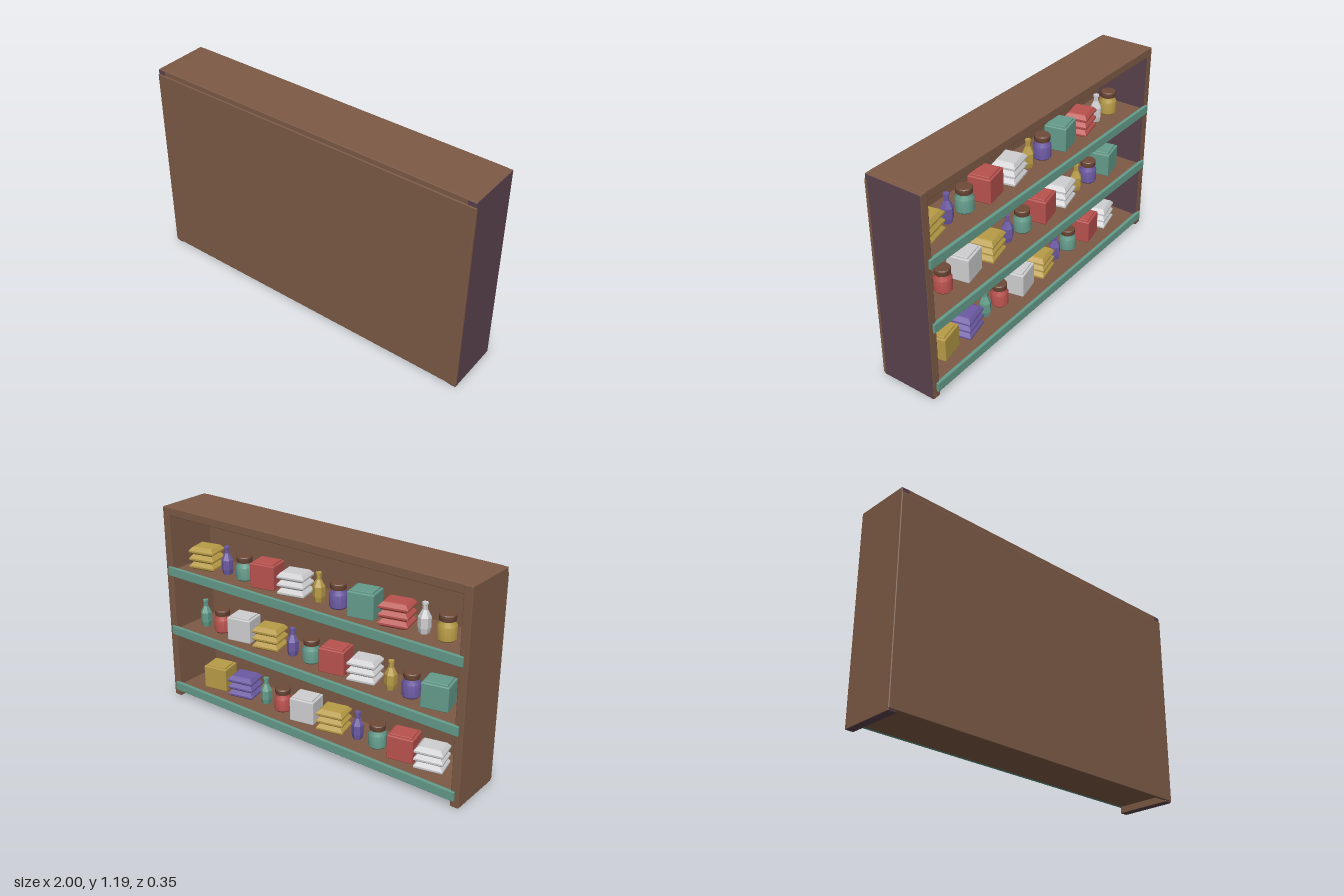
import * as THREE from 'three';
import { RoundedBoxGeometry } from 'three/addons/geometries/RoundedBoxGeometry.js';
import { toCreasedNormals } from 'three/addons/utils/BufferGeometryUtils.js';

function mat(name, color) {
  const m = new THREE.MeshStandardMaterial({ color });
  m.name = name;
  return m;
}

const wood = mat('brown wood', 0x7d5a45);
const plum = mat('plum wood', 0x5a424d);
const lid = mat('lid brown', 0x6f4a38);
const C = {
  teal: mat('teal', 0x649c8b),
  gold: mat('gold', 0xb89b46),
  red: mat('red', 0xb9524e),
  white: mat('off white', 0xcfcfd1),
  violet: mat('violet', 0x6c5aa3),
};

// Box given by its minimum and maximum corners, with slightly softened edges
function board(name, [x0, y0, z0], [x1, y1, z1], material, r = 0.005) {
  const geo = new RoundedBoxGeometry(x1 - x0, y1 - y0, z1 - z0, 1, r);
  const mesh = new THREE.Mesh(geo, material);
  mesh.position.set((x0 + x1) / 2, (y0 + y1) / 2, (z0 + z1) / 2);
  mesh.name = name;
  return mesh;
}

// Turned solid from [radius, height] pairs
function turned(points, sides, crease) {
  const pts = points.map(([r, y]) => new THREE.Vector2(r, y));
  return toCreasedNormals(new THREE.LatheGeometry(pts, sides), crease);
}

// Shared shapes for the goods
const bottleGeo = turned([[0, 0], [0.027, 0], [0.034, 0.03], [0.034, 0.085], [0.014, 0.125],
  [0.013, 0.15], [0.017, 0.152], [0.017, 0.163], [0, 0.163]], 6, 0.1);
const jarGeo = turned([[0, 0], [0.044, 0], [0.05, 0.008], [0.05, 0.078], [0.038, 0.098],
  [0.036, 0.112], [0, 0.112]], 14, 0.6);
const lidGeo = turned([[0, 0.104], [0.042, 0.104], [0.044, 0.109], [0.044, 0.133],
  [0.04, 0.138], [0, 0.138]], 14, 0.6);
const clothGeo = turned([[0, 0], [0.088, 0], [0.113, 0.012], [0.113, 0.022], [0.088, 0.042],
  [0.08, 0.045], [0, 0.045]], 4, 0.1).rotateY(Math.PI / 4).scale(1, 1, 0.82);
const boxGeo = new RoundedBoxGeometry(0.15, 0.14, 0.13, 1, 0.006);
const boxLidGeo = new RoundedBoxGeometry(0.125, 0.012, 0.105, 1, 0.004);

function add(group, geo, material, y = 0) {
  const mesh = new THREE.Mesh(geo, material);
  mesh.position.y = y;
  mesh.name = group.name + 'Part';
  group.add(mesh);
}

const goods = {
  bottle: (g, m) => add(g, bottleGeo, m),
  jar: (g, m) => {
    add(g, jarGeo, m);
    add(g, lidGeo, lid);
  },
  box: (g, m) => {
    add(g, boxGeo, m, 0.07);
    add(g, boxLidGeo, m, 0.142);
    g.rotation.y = 0.2;
  },
  cloth: (g, m) => {
    for (let i = 0; i < 3; i++) add(g, clothGeo, m, i * 0.045);
    g.rotation.y = 0.22;
  },
};

// Goods on each shelf from bottom to top: kind, colour, x
const rows = [
  [['box', 'gold', 0.753], ['cloth', 'violet', 0.554], ['bottle', 'teal', 0.39], ['jar', 'red', 0.264],
    ['box', 'white', 0.09], ['cloth', 'gold', -0.105], ['bottle', 'violet', -0.268],
    ['jar', 'teal', -0.4], ['box', 'red', -0.57], ['cloth', 'white', -0.745]],
  [['bottle', 'teal', 0.85], ['jar', 'red', 0.717], ['box', 'white', 0.548], ['cloth', 'gold', 0.35],
    ['bottle', 'violet', 0.185], ['jar', 'teal', 0.053], ['box', 'red', -0.117],
    ['cloth', 'white', -0.31], ['bottle', 'gold', -0.473], ['jar', 'violet', -0.6], ['box', 'teal', -0.763]],
  [['cloth', 'gold', 0.82], ['bottle', 'violet', 0.66], ['jar', 'teal', 0.527], ['box', 'red', 0.36],
    ['cloth', 'white', 0.16], ['bottle', 'gold', 0], ['jar', 'violet', -0.13],
    ['box', 'teal', -0.3], ['cloth', 'red', -0.5], ['bottle', 'white', -0.66], ['jar', 'gold', -0.79]],
];

export function createModel() {
  const model = new THREE.Group();
  model.name = 'stockedShelf';

  // Case: two sides with plum outer faces, top board and closing panel
  const sideMats = [plum, wood, wood, plum, plum, wood];
  model.add(
    board('leftSide', [0.95, 0, -0.162], [0.999, 1.188, 0.17], sideMats),
    board('rightSide', [-0.999, 0, -0.162], [-0.95, 1.188, 0.17], sideMats),
    board('topBoard', [-0.975, 1.14, -0.161], [0.975, 1.19, 0.169], wood),
    board('closingPanel', [-1, 0.01, 0.155], [1, 1.16, 0.175], wood),
  );

  // Shelves with teal edge strips and their goods
  rows.forEach((row, i) => {
    const y = 0.04 + i * 0.371;
    model.add(
      board('shelf', [-0.955, y, -0.158], [0.955, y + 0.035, 0.16], wood, 0.003),
      board('shelfStrip', [-0.975, y, -0.175], [0.975, y + 0.053, -0.155], C.teal, 0.003),
    );
    for (const [kind, colour, x] of row) {
      const item = new THREE.Group();
      item.name = kind;
      goods[kind](item, C[colour]);
      item.position.set(x, y + 0.035, -0.01);
      model.add(item);
    }
  });
  return model;
}
